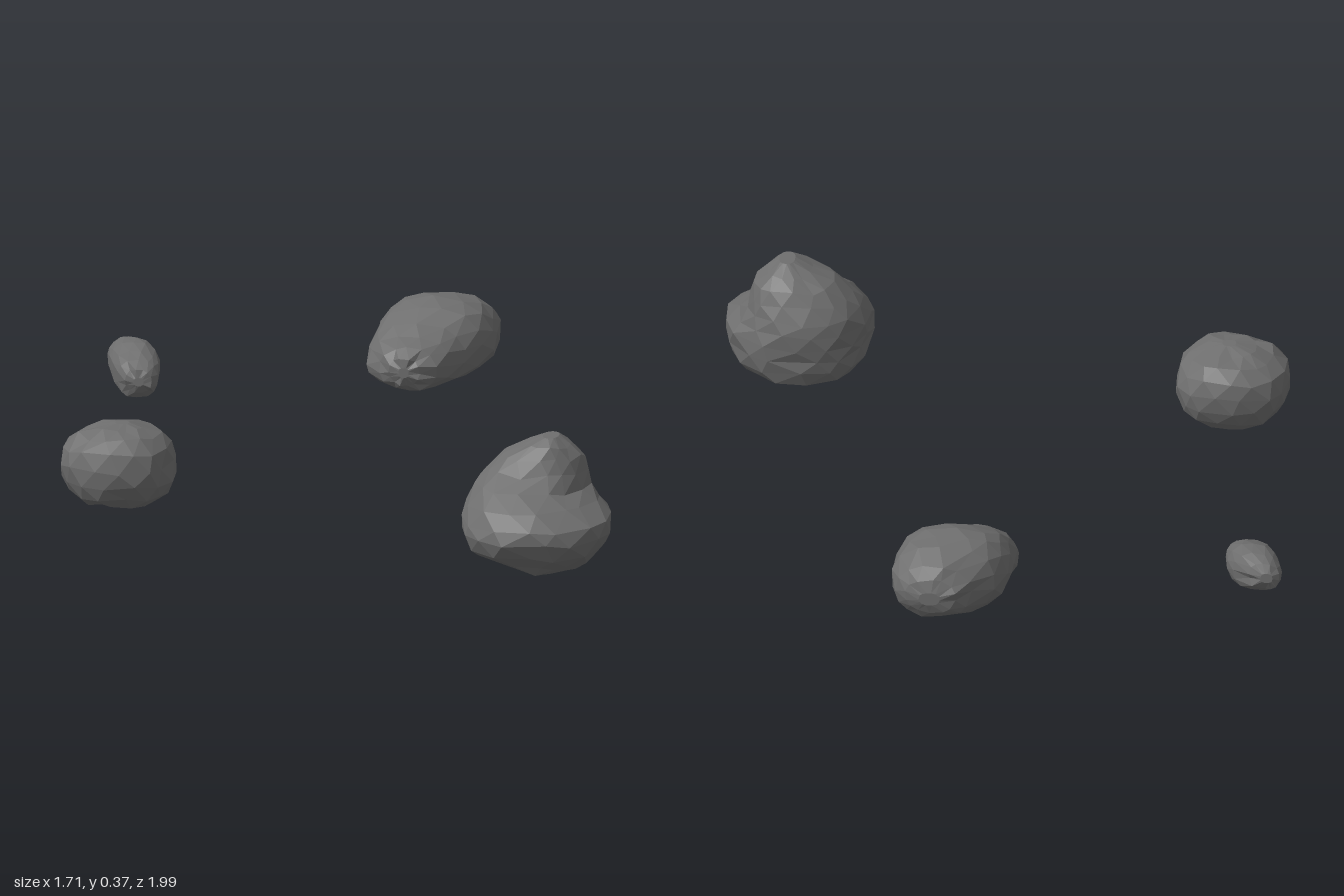
import * as THREE from 'three';

const SIDES = 14;
const material = new THREE.MeshStandardMaterial({ color: 0x6e6e6e, flatShading: true });

// Small seeded generator, so the chipped facets are always the same
function seeded(seed) {
  let s = seed;
  return () => (s = (s * 16807) % 2147483647) / 2147483647;
}

// Rounds a circle's coordinate slightly towards a square
const boxy = (t) => Math.sign(t) * Math.abs(t) ** 0.88;

// Rock lofted through rings [height, uMin, uMax, vMin, vMax, dent towards +u +v].
// Upright rocks stack along y (u = x, v = z), lying ones along z (u = x, v = y).
function rock(name, rings, upright, seed) {
  const rand = seeded(seed);
  const pos = [], index = [];
  const put = (u, v, h) => (upright ? pos.push(u, h, v) : pos.push(u, v, h));
  const tri = (a, b, c) => (upright ? index.push(a, c, b) : index.push(a, b, c));

  rings.forEach(([h, u0, u1, v0, v1, dent = 0], r) => {
    const inner = r > 0 && r < rings.length - 1;
    for (let i = 0; i < SIDES; i++) {
      const a = ((i + (r % 2) / 2 + (rand() - 0.5) * 0.4) / SIDES) * Math.PI * 2;
      const facing = Math.max(0, Math.cos(a - Math.PI / 4));
      const k = (0.97 + rand() * 0.05) * (1 - dent * facing ** 4);
      const dh = inner ? (rand() - 0.5) * 0.016 : 0;
      put((u0 + u1) / 2 + boxy(Math.cos(a)) * k * (u1 - u0) / 2,
        (v0 + v1) / 2 + boxy(Math.sin(a)) * k * (v1 - v0) / 2, h + dh);
    }
  });

  // Sides: the diagonal alternates with the half-step twist of the rings
  for (let r = 0; r < rings.length - 1; r++) {
    for (let i = 0; i < SIDES; i++) {
      const j = (i + 1) % SIDES;
      const a = r * SIDES + i, b = r * SIDES + j;
      const c = a + SIDES, d = b + SIDES;
      if (r % 2) { tri(a, b, d); tri(a, d, c); }
      else { tri(a, b, c); tri(b, d, c); }
    }
  }

  // End caps
  [0, rings.length - 1].forEach((r) => {
    const [h, u0, u1, v0, v1] = rings[r];
    const centre = pos.length / 3;
    put((u0 + u1) / 2, (v0 + v1) / 2, h);
    for (let i = 0; i < SIDES; i++) {
      const a = r * SIDES + i, b = r * SIDES + ((i + 1) % SIDES);
      if (r === 0) tri(centre, b, a);
      else tri(centre, a, b);
    }
  });

  const geo = new THREE.BufferGeometry();
  geo.setAttribute('position', new THREE.Float32BufferAttribute(pos, 3));
  geo.setIndex(index);
  geo.computeVertexNormals();
  const mesh = new THREE.Mesh(geo, material);
  mesh.name = name;
  return mesh;
}

export function createModel() {
  const group = new THREE.Group();
  group.name = 'rocks';

  // Tall boulder: bulging foot, stepped shoulder on its front left, peak at the back
  group.add(rock('peakedBoulder', [
    [0.0, 0.62, 0.71, 0.74, 0.87],
    [0.012, 0.55, 0.76, 0.64, 0.90],
    [0.035, 0.475, 0.80, 0.59, 0.93],
    [0.07, 0.445, 0.835, 0.575, 0.975],
    [0.11, 0.435, 0.85, 0.57, 1.0],
    [0.15, 0.435, 0.852, 0.565, 0.99],
    [0.19, 0.44, 0.815, 0.56, 0.955, 0.1],
    [0.23, 0.46, 0.785, 0.57, 0.89, 0.15],
    [0.27, 0.49, 0.78, 0.59, 0.835, 0.1],
    [0.31, 0.535, 0.765, 0.61, 0.81, 0.05],
    [0.345, 0.60, 0.73, 0.64, 0.79],
    [0.368, 0.65, 0.695, 0.68, 0.76],
  ], true, 11));

  // Squat round boulder
  group.add(rock('roundBoulder', [
    [0.048, -0.63, -0.56, 0.46, 0.53],
    [0.054, -0.70, -0.51, 0.40, 0.59],
    [0.085, -0.75, -0.465, 0.36, 0.625],
    [0.125, -0.768, -0.45, 0.335, 0.645],
    [0.17, -0.775, -0.45, 0.33, 0.65],
    [0.215, -0.765, -0.46, 0.34, 0.64],
    [0.25, -0.725, -0.49, 0.37, 0.605],
    [0.268, -0.68, -0.535, 0.42, 0.56],
    [0.277, -0.62, -0.58, 0.47, 0.51],
  ], true, 29));

  // Long boulder, thick at the back and tapering forward
  group.add(rock('longBoulder', [
    [-1.0, 0.08, 0.14, 0.175, 0.215],
    [-0.988, 0.035, 0.18, 0.145, 0.25],
    [-0.96, -0.005, 0.212, 0.12, 0.28],
    [-0.9, -0.07, 0.225, 0.10, 0.315],
    [-0.85, -0.10, 0.228, 0.09, 0.325],
    [-0.8, -0.108, 0.225, 0.09, 0.325],
    [-0.75, -0.11, 0.205, 0.092, 0.31],
    [-0.69, -0.115, 0.165, 0.095, 0.275],
    [-0.64, -0.11, 0.135, 0.095, 0.25],
    [-0.59, -0.065, 0.10, 0.105, 0.23],
    [-0.567, -0.035, 0.055, 0.125, 0.205],
    [-0.557, -0.005, 0.025, 0.15, 0.18],
  ], false, 37));

  // Small pebble, lying slightly askew
  group.add(rock('pebble', [
    [-0.706, -0.835, -0.80, 0.14, 0.17],
    [-0.69, -0.852, -0.765, 0.11, 0.195],
    [-0.65, -0.857, -0.715, 0.09, 0.205],
    [-0.6, -0.842, -0.695, 0.072, 0.207],
    [-0.55, -0.825, -0.686, 0.065, 0.193],
    [-0.51, -0.803, -0.685, 0.068, 0.178],
    [-0.487, -0.775, -0.697, 0.088, 0.158],
    [-0.477, -0.75, -0.72, 0.11, 0.135],
  ], false, 53));

  return group;
}
